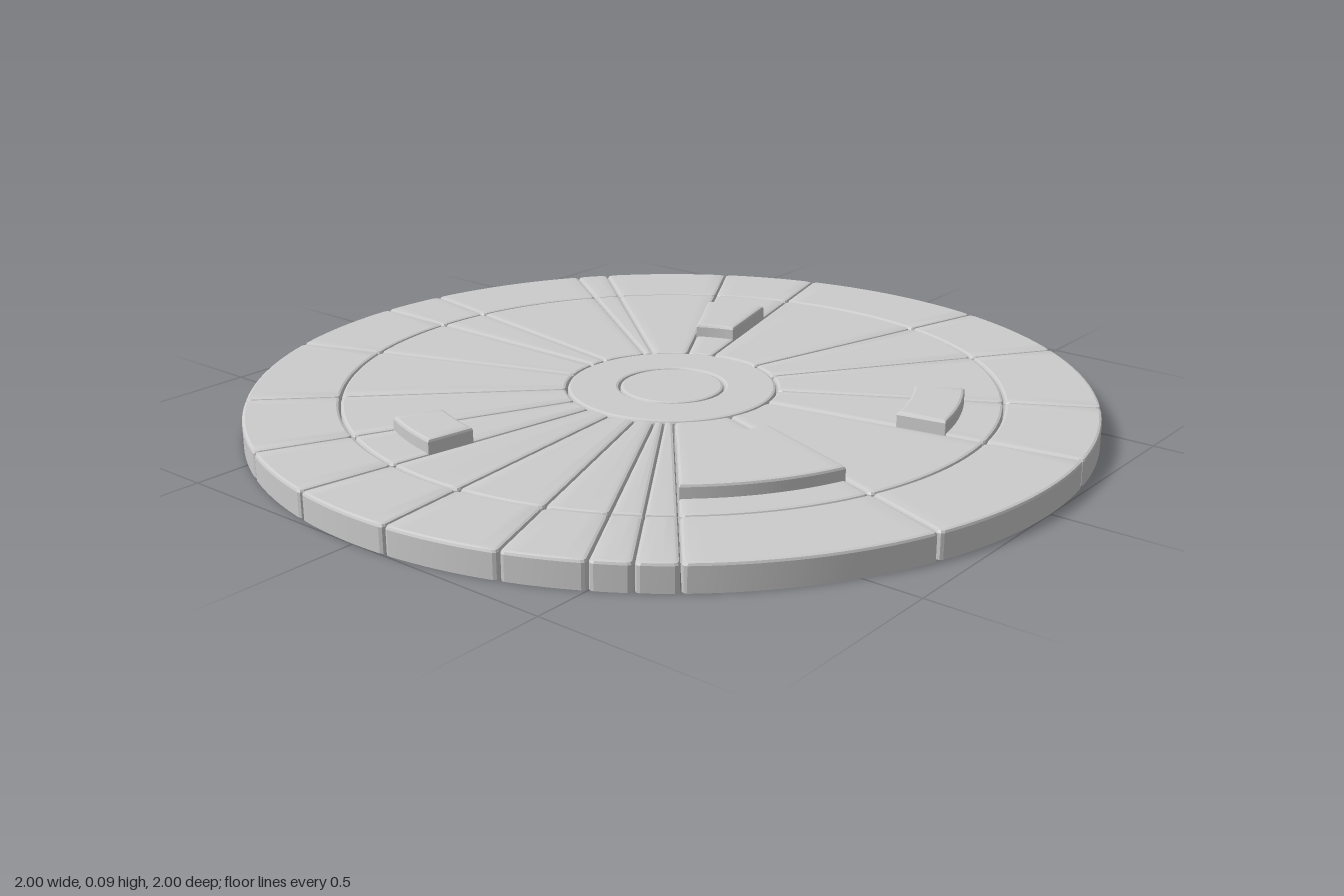
import * as THREE from 'three';
import { toCreasedNormals } from 'three/addons/utils/BufferGeometryUtils.js';

const GAP = 0.0015, BEVEL = 0.007, HEIGHT = 0.063, RAISED = 0.095;
const R_DISC = 0.125, R_HUB = 0.25, R_MID = 0.78, R_RIM = 1;
const material = new THREE.MeshStandardMaterial({ color: 0xcccccc, side: THREE.DoubleSide });

// Bevelled edge as [inset, drop below the top]
const edge = [[0, BEVEL], [0.3 * BEVEL, 0.3 * BEVEL], [BEVEL, 0]];

// One closed outline of a ring sector, shrunk by d, with corners rounded by c
function outline(r0, r1, a0, a1, d, c, n) {
  const at = (r, side, off) => {
    const a = side < 0 ? a0 + Math.asin(off / r) : a1 - Math.asin(off / r);
    return [r, a];
  };
  const arc = (r, inward) => {
    const corner = side => [
      at(r + inward * c, side, d),
      at(r + inward * 0.3 * c, side, d + 0.3 * c),
      at(r, side, d + c),
    ];
    const start = corner(-1), end = corner(1).reverse();
    const from = start[2][1], to = end[0][1], pts = [...start];
    for (let i = 1; i < n; i++) pts.push([r, from + (to - from) * i / n]);
    return [...pts, ...end];
  };
  return [...arc(r0 + d, 1), ...arc(r1 - d, -1).reverse()]
    .map(([r, a]) => [r * Math.cos(a), r * Math.sin(a)]);
}

// Sector-shaped shell: walls, bevel and top, open underneath
function panel(name, r0, r1, deg0, deg1, height, corner) {
  const a0 = THREE.MathUtils.degToRad(deg0), a1 = THREE.MathUtils.degToRad(deg1);
  const n = Math.max(2, Math.ceil((deg1 - deg0) / 2));
  const room = r0 * Math.sin((a1 - a0) / 2) - BEVEL - GAP - 0.001;
  const c = Math.min(corner, room);
  const positions = [], index = [];
  const levels = [[0, 0], ...edge.map(([d, drop]) => [d, height - drop])];
  let count = 0;
  for (const [d, y] of levels) {
    const loop = outline(r0, r1, a0, a1, d + GAP, c, n);
    count = loop.length;
    for (const [x, z] of loop) positions.push(x, y, z);
  }
  const quad = (a, b, e, f) => index.push(a, b, e, a, e, f);
  for (let k = 0; k < levels.length - 1; k++) {
    for (let i = 0; i < count; i++) {
      const j = (i + 1) % count, lo = k * count, hi = lo + count;
      quad(lo + i, lo + j, hi + j, hi + i);
    }
  }
  const top = (levels.length - 1) * count;
  for (let i = 0; i < count / 2 - 1; i++) {
    quad(top + i, top + i + 1, top + count - 2 - i, top + count - 1 - i);
  }
  const geometry = new THREE.BufferGeometry();
  geometry.setAttribute('position', new THREE.Float32BufferAttribute(positions, 3));
  geometry.setIndex(index);
  return mesh(name, geometry);
}

function mesh(name, geometry) {
  const m = new THREE.Mesh(toCreasedNormals(geometry, 0.35), material);
  m.name = name;
  return m;
}

// Round shell from [radius, y] pairs
const lathe = (name, pts) =>
  mesh(name, new THREE.LatheGeometry(pts.map(p => new THREE.Vector2(...p)), 96));

export function createModel() {
  const group = new THREE.Group();
  group.name = 'segmentedDisc';

  // Hub: centre disc and the ring around it, both open underneath
  const outer = r => [[r, 0], ...edge.map(([d, drop]) => [r - d, HEIGHT - drop])];
  const inner = r => [...edge.map(([d, drop]) => [r + d, HEIGHT - drop]).reverse(), [r, 0]];
  group.add(lathe('centreDisc', [...outer(R_DISC - GAP), [0, HEIGHT]]));
  group.add(lathe('hubRing', [...outer(R_HUB - GAP), ...inner(R_DISC + GAP)]));

  // Panels between the radial grooves, in an inner and an outer ring
  const spokes = [-90, -80, -55, -50, -30, -15, 15, 35, 60, 80, 110, 140, 145,
    150, 160, 175, 190, 205, 225, 250];
  spokes.forEach((start, i) => {
    const end = i + 1 < spokes.length ? spokes[i + 1] : spokes[0] + 360;
    group.add(panel('innerPanel', R_HUB, R_MID, start, end, HEIGHT, 0.01));
    group.add(panel('rimPanel', R_MID, R_RIM + GAP, start, end, HEIGHT, 0.01));
  });

  // Raised blocks standing on four of the inner panels
  const blocks = [
    [0.39, 0.61, -30, -15],
    [0.57, 0.69, 60, 80],
    [0.41, 0.70, 110, 140],
    [0.57, 0.69, 190, 205],
  ];
  for (const b of blocks) group.add(panel('raisedBlock', ...b, RAISED, 0.002));

  return group;
}
